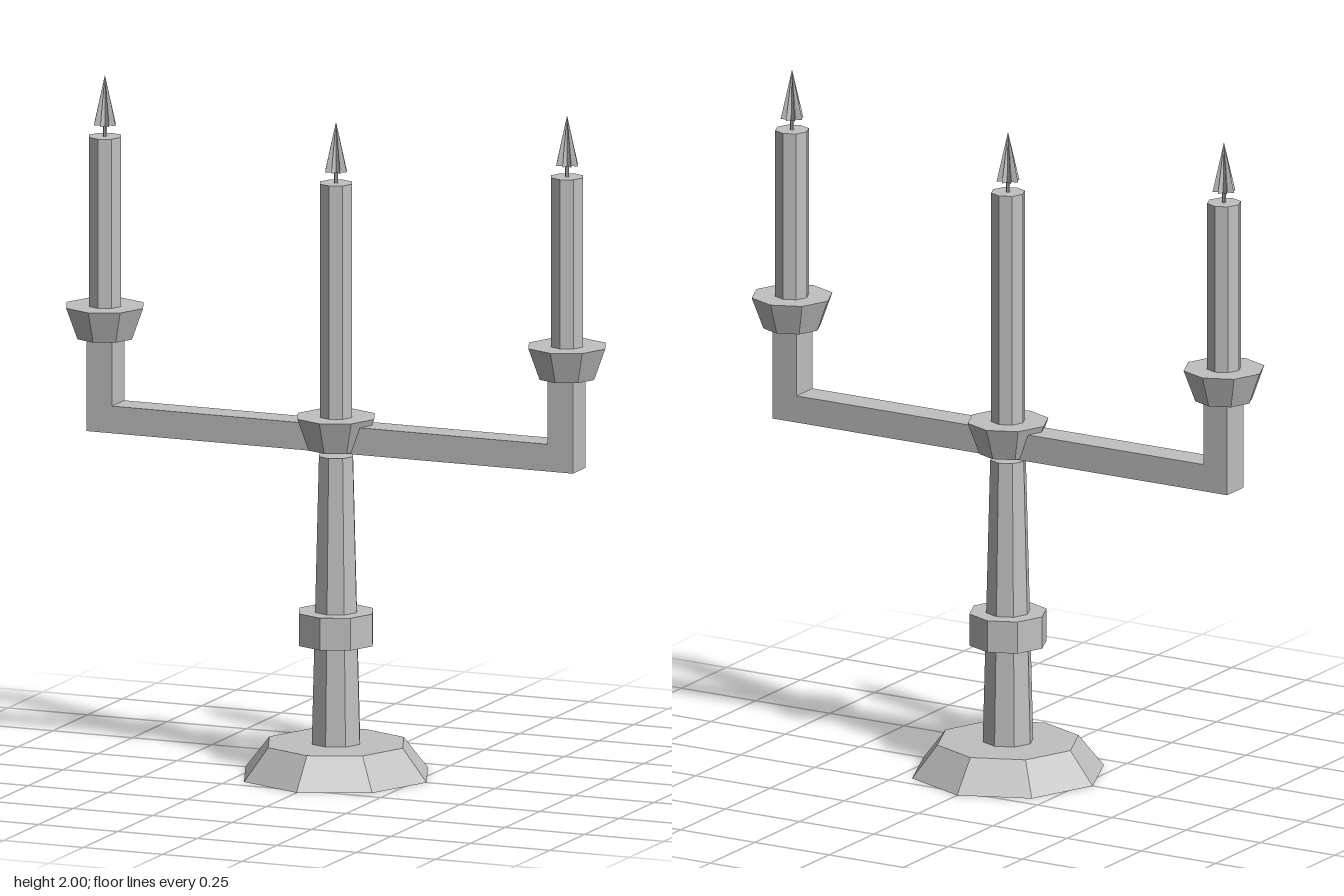
import * as THREE from 'three';

const metal = new THREE.MeshStandardMaterial({ color: 0xc0c0c0 });
metal.name = 'grey';

// Faceted mesh from any geometry
function part(name, geometry, parent) {
  const g = geometry.index ? geometry.toNonIndexed() : geometry;
  g.computeVertexNormals();
  const mesh = new THREE.Mesh(g, metal);
  mesh.name = name;
  parent.add(mesh);
  return mesh;
}

// Eight-sided frustum between two heights
function octagon(name, rBottom, rTop, y0, y1, parent) {
  const mesh = part(name, new THREE.CylinderGeometry(rTop, rBottom, y1 - y0, 8), parent);
  mesh.position.y = (y0 + y1) / 2;
  return mesh;
}

// Cone whose alternate corners are pulled in to make flutes
function flutedFlame(radius, height) {
  const g = new THREE.ConeGeometry(radius, height, 16);
  const p = g.attributes.position;
  for (let i = 0; i < p.count; i++) {
    const step = Math.round(Math.atan2(p.getX(i), p.getZ(i)) / (Math.PI / 8));
    const s = step % 2 === 0 ? 1 : 0.5;
    p.setXYZ(i, p.getX(i) * s, p.getY(i), p.getZ(i) * s);
  }
  return g;
}

// Drip cup with candle, wick and flame
function candleHolder(name, x, cupY, cupTop, candleTop, parent) {
  const group = new THREE.Group();
  group.name = name;
  group.position.x = x;
  octagon('cup', 0.085, 0.12, cupY, cupTop, group);
  octagon('candle', 0.05, 0.05, cupTop, candleTop, group);
  octagon('wick', 0.006, 0.006, candleTop, candleTop + 0.04, group);
  const flame = part('flame', flutedFlame(0.034, 0.147), group);
  flame.position.y = candleTop + 0.033 + 0.0735;
  parent.add(group);
}

export function createModel() {
  const model = new THREE.Group();
  model.name = 'candelabra';

  // Foot and tapered stem with collar
  octagon('base', 0.285, 0.21, 0, 0.095, model);
  octagon('stem', 0.075, 0.053, 0.095, 0.94, model);
  octagon('collar', 0.115, 0.115, 0.387, 0.482, model);

  // Square-section arm turned up at both ends
  const outline = [
    [-0.765, 0.957], [0.765, 0.957], [0.765, 1.23], [0.685, 1.23],
    [0.685, 1.037], [-0.685, 1.037], [-0.685, 1.23], [-0.765, 1.23],
  ].map(([x, y]) => new THREE.Vector2(x, y));
  const armGeometry = new THREE.ExtrudeGeometry(new THREE.Shape(outline), { depth: 0.09, bevelEnabled: false });
  armGeometry.translate(0, 0, -0.045);
  part('arms', armGeometry, model);

  // Three candle holders
  candleHolder('centreHolder', 0, 0.96, 1.055, 1.742, model);
  for (const side of [-1, 1]) {
    candleHolder(side > 0 ? 'leftHolder' : 'rightHolder', side * 0.727, 1.228, 1.322, 1.82, model);
  }
  return model;
}
